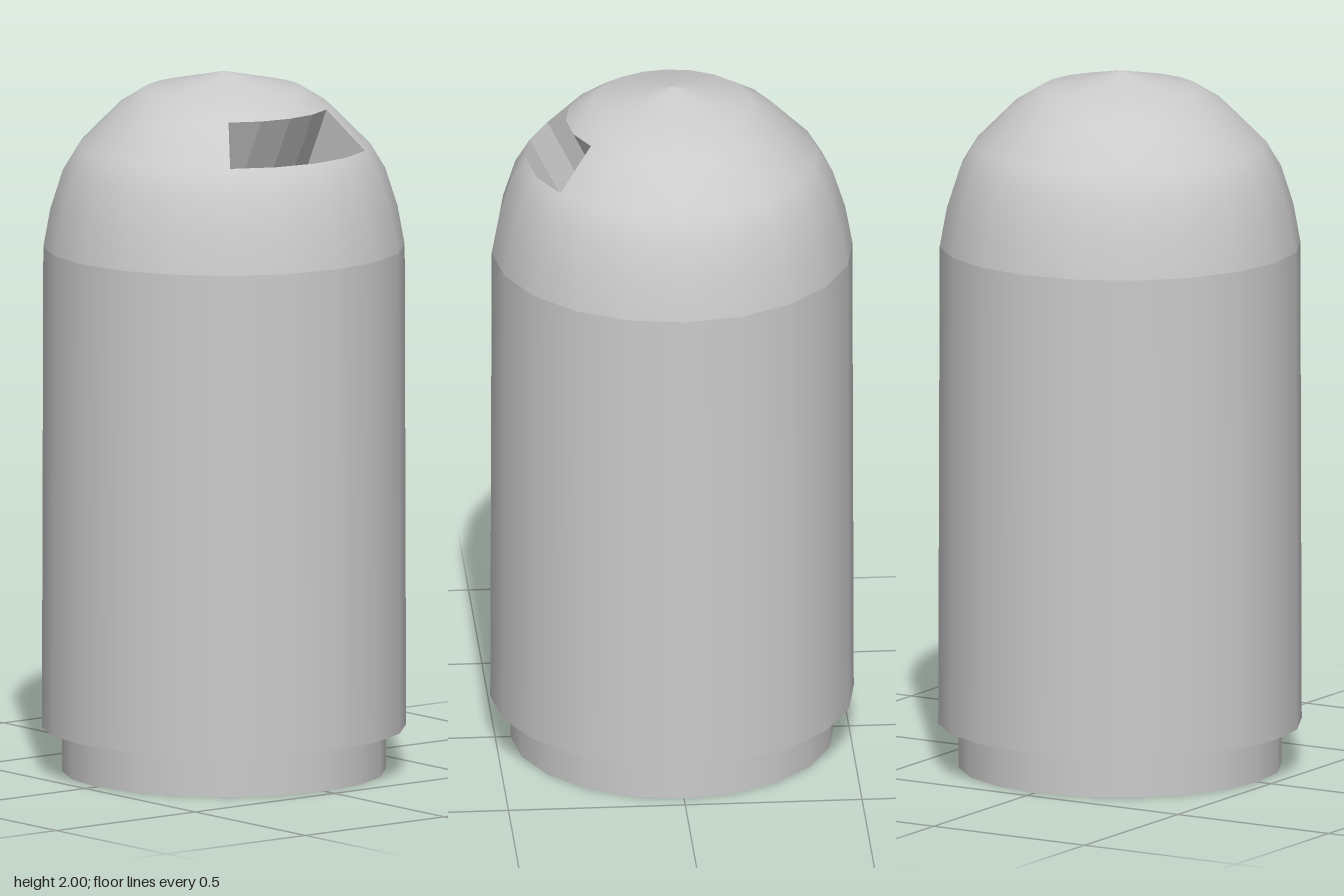
import * as THREE from 'three';

const SIDES = 20;
const grey = () => new THREE.MeshStandardMaterial({ color: 0xcccccc });

// Turned surface from a bottom-to-top list of [radius, height]
function turned(profile) {
  return new THREE.LatheGeometry(profile.map(([r, y]) => new THREE.Vector2(r, y)), SIDES);
}

function addPart(group, name, geometry, material = grey()) {
  const mesh = new THREE.Mesh(geometry, material);
  mesh.name = name;
  group.add(mesh);
}

// Slot outline ring: radius and height of its lower and upper edges
const LOWER = [0.413, 1.79];
const UPPER = [0.3, 1.903];

// Dome with four facets of one ring left open at the front
function domeGeometry() {
  const profile = [[0.51, 1.5], [0.49, 1.61], [0.455, 1.72], LOWER, UPPER, [0.222, 1.951], [0, 2]];
  const geo = turned(profile);
  const rows = profile.length - 1;
  const slotRow = profile.indexOf(LOWER);
  const kept = Array.from(geo.index.array).filter((_, k) => {
    const quad = Math.floor(k / 6);
    const sector = Math.floor(quad / rows);
    const open = sector < 2 || sector >= SIDES - 2;
    return !(open && quad % rows === slotRow);
  });
  geo.setIndex(kept);
  return geo;
}

// Pocket behind the opening: the outline pushed straight back and down
function pocketGeometry() {
  const push = new THREE.Vector3(0, -0.4, -0.2);
  const point = ([r, y], step) => {
    const a = step * Math.PI * 2 / SIDES;
    return new THREE.Vector3(r * Math.sin(a), y, r * Math.cos(a));
  };
  const low = [], high = [];
  for (let s = -2; s <= 2; s++) {
    low.push(point(LOWER, s));
    high.push(point(UPPER, s));
  }
  const inner = (p) => p.clone().add(push);
  const corners = [];
  const quad = (a, b, c, d) => corners.push(a, b, c, a, c, d);

  // Walls
  const loop = [...low, ...high.slice().reverse()];
  loop.forEach((a, i) => {
    const b = loop[(i + 1) % loop.length];
    quad(a, inner(a), inner(b), b);
  });
  // Closed inner end
  for (let i = 0; i < 4; i++) {
    quad(inner(low[i]), inner(low[i + 1]), inner(high[i + 1]), inner(high[i]));
  }
  const geo = new THREE.BufferGeometry().setFromPoints(corners);
  geo.computeVertexNormals();
  return geo;
}

export function createModel() {
  const model = new THREE.Group();
  model.name = 'domedCapsule';

  // Recessed foot
  addPart(model, 'footBottom', turned([[0, 0], [0.457, 0]]));
  addPart(model, 'footWall', turned([[0.457, 0], [0.457, 0.127]]));

  // Slightly tapered main body with its underside ledge
  addPart(model, 'bodyUnderside', turned([[0.457, 0.127], [0.514, 0.127]]));
  addPart(model, 'bodyWall', turned([[0.514, 0.127], [0.51, 1.5]]));

  // Rounded top with the front slot
  addPart(model, 'dome', domeGeometry());
  const pocketMaterial = grey();
  pocketMaterial.flatShading = true;
  pocketMaterial.side = THREE.DoubleSide;
  addPart(model, 'slotPocket', pocketGeometry(), pocketMaterial);

  return model;
}
